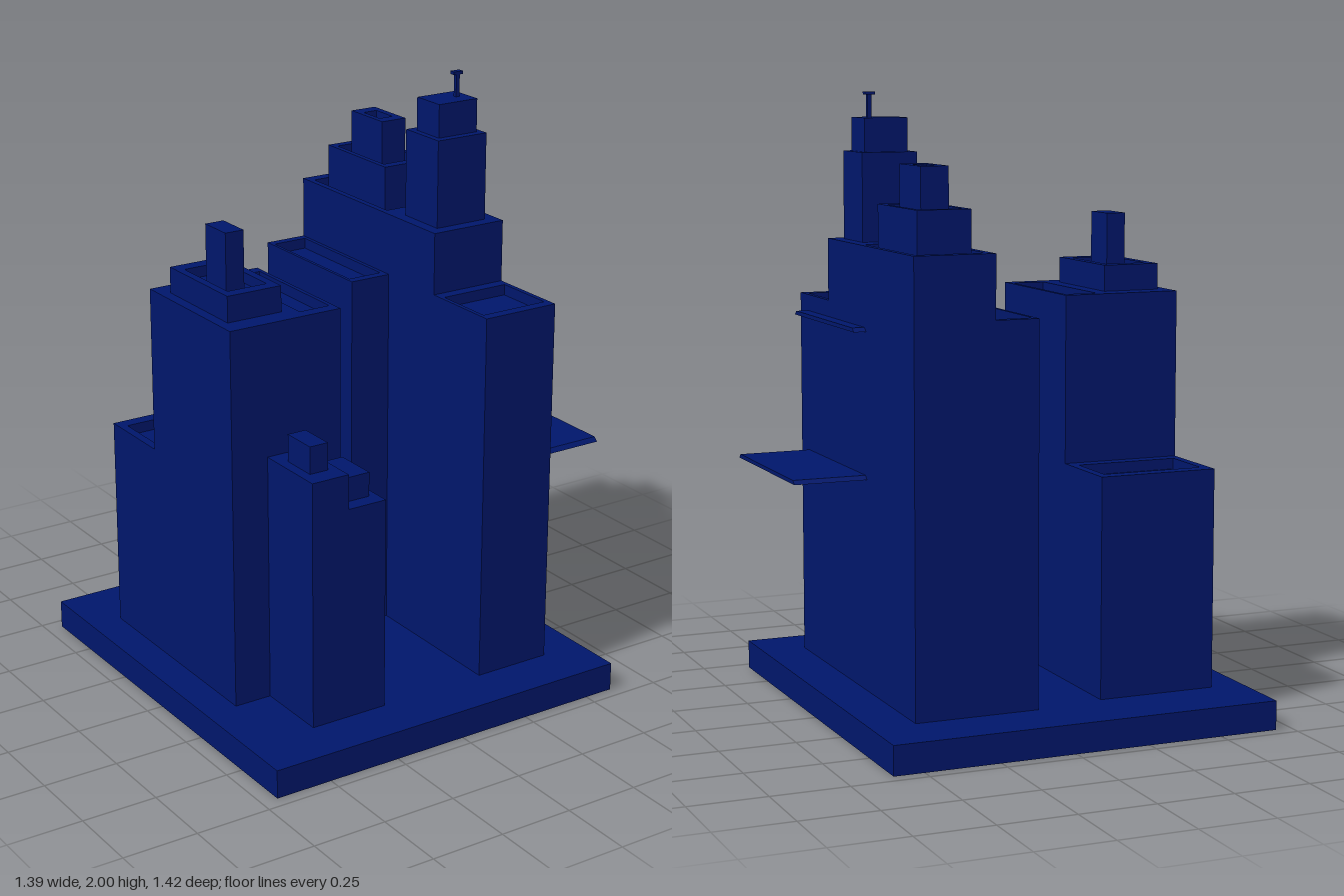
import * as THREE from 'three';

const navy = new THREE.MeshStandardMaterial({ color: 0x00166b, side: THREE.DoubleSide });
navy.name = 'navy';

const GROUND = 0.095; // top of the plinth
const FOOT = 0.083;   // towers reach just through the plinth top

function addMesh(parent, name, geometry) {
  const mesh = new THREE.Mesh(geometry, navy);
  mesh.name = name;
  parent.add(mesh);
  return mesh;
}

// Box given by its limits
function boxGeo(x0, x1, y0, y1, z0, z1) {
  return new THREE.BoxGeometry(x1 - x0, y1 - y0, z1 - z0)
    .translate((x0 + x1) / 2, (y0 + y1) / 2, (z0 + z1) / 2);
}

function rectangle(target, [x0, x1, z0, z1]) {
  target.moveTo(x0, -z1);
  target.lineTo(x1, -z1);
  target.lineTo(x1, -z0);
  target.lineTo(x0, -z0);
  target.closePath();
  return target;
}

// Block with an optional sunken roof well; plan and well are [x0, x1, z0, z1]
function block(parent, name, plan, y0, y1, well, depth = 0.035) {
  const [x0, x1, z0, z1] = plan;
  if (!well) return addMesh(parent, name, boxGeo(x0, x1, y0, y1, z0, z1));
  const group = new THREE.Group();
  group.name = name;
  addMesh(group, name + 'Body', boxGeo(x0, x1, y0, y1 - depth, z0, z1));
  const ring = rectangle(new THREE.Shape(), plan);
  ring.holes.push(rectangle(new THREE.Path(), well));
  const parapet = new THREE.ExtrudeGeometry(ring, { depth, bevelEnabled: false });
  parapet.rotateX(-Math.PI / 2).translate(0, y1 - depth, 0);
  addMesh(group, name + 'Parapet', parapet);
  parent.add(group);
  return group;
}

// Thin canopy with sloping ends, projecting along +x
function canopy(parent, name, x0, x1, y) {
  const s = new THREE.Shape();
  s.moveTo(-0.478, 0);
  s.lineTo(0.097, 0);
  s.lineTo(0.083, 0.013);
  s.lineTo(-0.464, 0.013);
  s.closePath();
  const g = new THREE.ExtrudeGeometry(s, { depth: x1 - x0, bevelEnabled: false });
  g.rotateY(Math.PI / 2).translate(x0, y, 0);
  addMesh(parent, name, g);
}

export function createModel() {
  const model = new THREE.Group();
  model.name = 'cityBlock';

  // Hollow plinth, open underneath
  const plinth = boxGeo(-0.695, 0.6, 0, GROUND, -0.708, 0.708);
  const index = Array.from(plinth.index.array);
  index.splice(18, 6);
  plinth.setIndex(index);
  plinth.clearGroups();
  addMesh(model, 'plinth', plinth);

  // West cluster
  const west = new THREE.Group();
  west.name = 'westTowers';
  model.add(west);
  block(west, 'westMain', [-0.585, -0.188, -0.205, 0.285], FOOT, 1.355, [-0.31, -0.202, -0.167, 0.243]);
  block(west, 'westRear', [-0.585, -0.188, -0.48, -0.205], FOOT, 0.81, [-0.557, -0.217, -0.435, -0.248]);
  block(west, 'westFrontTall', [-0.457, -0.325, 0.285, 0.54], FOOT, 0.92);
  block(west, 'westFrontLow', [-0.325, -0.188, 0.285, 0.54], FOOT, 0.805);
  block(west, 'westFrontTallCap', [-0.423, -0.358, 0.349, 0.474], 0.92, 1.01);
  block(west, 'westFrontLowCap', [-0.295, -0.215, 0.338, 0.488], 0.805, 0.885);
  block(west, 'westPenthouse', [-0.55, -0.358, -0.135, 0.214], 1.355, 1.44, [-0.524, -0.385, -0.088, 0.172]);
  block(west, 'westSpire', [-0.487, -0.422, -0.018, 0.102], 1.4, 1.6);

  // East cluster
  const east = new THREE.Group();
  east.name = 'eastTowers';
  model.add(east);
  block(east, 'eastMain', [0.186, 0.453, -0.512, 0.257], FOOT, 1.525, [0.207, 0.434, -0.473, -0.04]);
  block(east, 'eastFront', [0.186, 0.453, 0.257, 0.538], FOOT, 1.322, [0.2, 0.437, 0.295, 0.502]);
  block(east, 'eastSlim', [0.042, 0.186, -0.512, 0.003], FOOT, 1.322, [0.053, 0.173, -0.483, -0.028]);

  // Rear stepped crown
  block(east, 'rearCrownLower', [0.23, 0.407, -0.423, -0.086], 1.49, 1.655, [0.248, 0.391, -0.393, -0.12]);
  block(east, 'rearCrownUpper', [0.273, 0.365, -0.347, -0.167], 1.62, 1.783, [0.292, 0.342, -0.303, -0.21]);

  // Front stepped crown with antenna
  block(east, 'frontCrownLower', [0.225, 0.412, 0.039, 0.215], 1.525, 1.81);
  block(east, 'frontCrownUpper', [0.246, 0.393, 0.068, 0.188], 1.81, 1.918);
  block(east, 'antennaMast', [0.349, 0.362, 0.122, 0.135], 1.918, 1.99);
  block(east, 'antennaTip', [0.338, 0.372, 0.117, 0.138], 1.99, 2.0);

  // Side canopies
  canopy(east, 'lowerCanopy', 0.453, 0.695, 0.783);
  canopy(east, 'upperCanopy', 0.453, 0.494, 1.255);

  return model;
}
